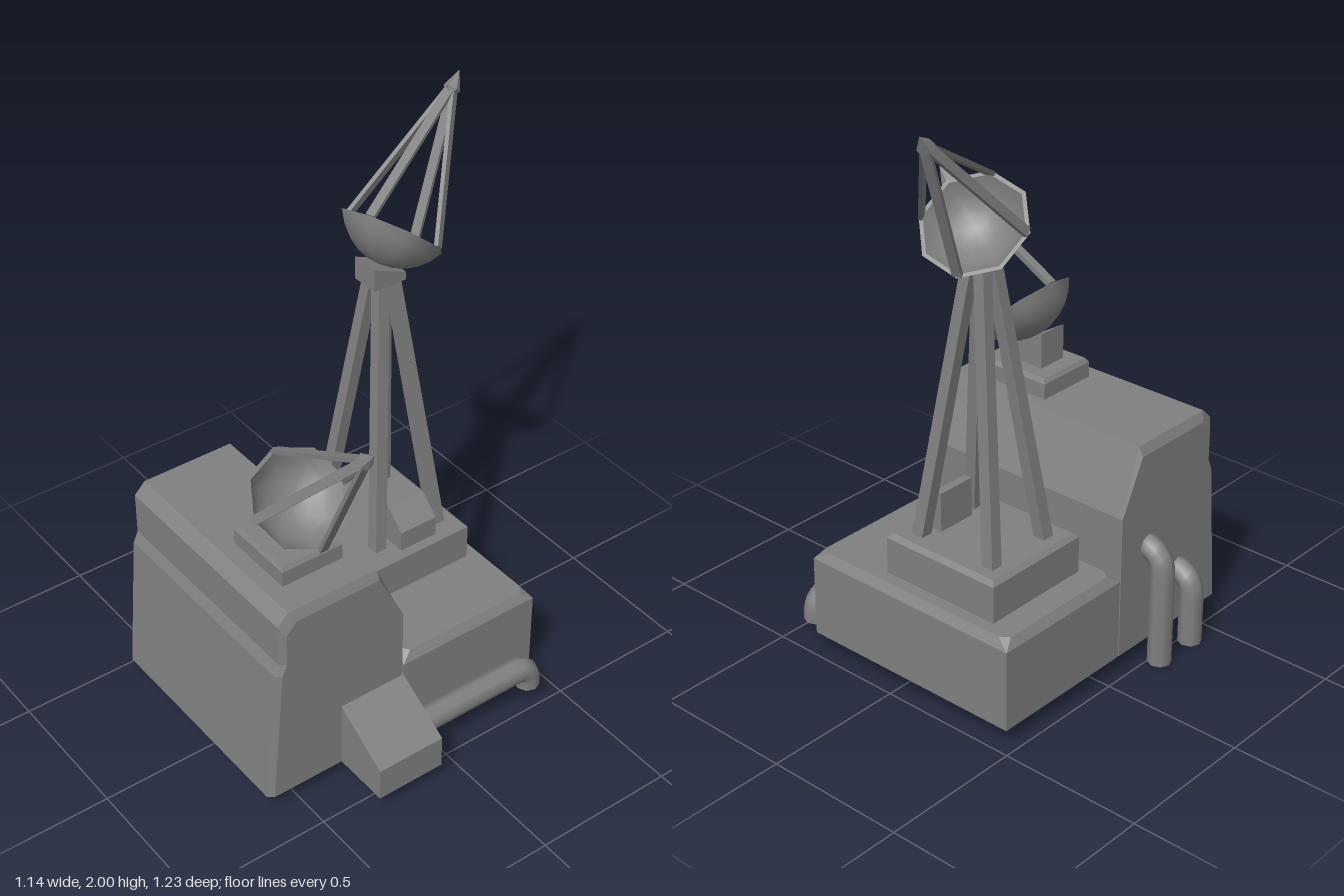
import * as THREE from 'three';
import { toCreasedNormals } from 'three/addons/utils/BufferGeometryUtils.js';

const grey = new THREE.MeshStandardMaterial({ color: 0x808080, side: THREE.DoubleSide });
const V = (x, y, z) => new THREE.Vector3(x, y, z);

function part(name, geometry, parent) {
  const mesh = new THREE.Mesh(geometry, grey);
  mesh.name = name;
  parent.add(mesh);
  return mesh;
}

// Flat-faced skin through equal-length rings of points
function loft(rings, closed, capStart, capEnd) {
  const pos = [];
  const tri = (...pts) => pts.forEach((p) => pos.push(p.x, p.y, p.z));
  const n = rings[0].length;
  for (let i = 0; i < rings.length - 1; i++) {
    for (let j = 0; j < (closed ? n : n - 1); j++) {
      const k = (j + 1) % n;
      const [a, b, c, d] = [rings[i][j], rings[i][k], rings[i + 1][k], rings[i + 1][j]];
      tri(a, b, c);
      tri(a, c, d);
    }
  }
  const first = rings[0], last = rings[rings.length - 1];
  for (let j = 1; j < n - 1; j++) {
    if (capStart) tri(first[0], first[j + 1], first[j]);
    if (capEnd) tri(last[0], last[j], last[j + 1]);
  }
  const g = new THREE.BufferGeometry();
  g.setAttribute('position', new THREE.Float32BufferAttribute(pos, 3));
  g.computeVertexNormals();
  return g;
}

// Slab with a chamfered top, top corners cut by (cutX, cutZ), and an open underside
function slab(x0, x1, z0, z1, y0, yShoulder, y1, inset, cutX = 0, cutZ = 0) {
  const ring = (y, i, cx, cz) => [
    V(x0 + i + cx, y, z1 - i), V(x1 - i - cx, y, z1 - i), V(x1 - i, y, z1 - i - cz), V(x1 - i, y, z0 + i + cz),
    V(x1 - i - cx, y, z0 + i), V(x0 + i + cx, y, z0 + i), V(x0 + i, y, z0 + i + cz), V(x0 + i, y, z1 - i - cz)];
  return loft([ring(y0, 0, 0, 0), ring(yShoulder, 0, 0, 0), ring(y1, inset, cutX, cutZ)], true, false, true);
}

// Outline in x and y carried from z0 to z1; the side between its last and first points stays open
function prism(outline, z0, z1) {
  return loft([z0, z1].map((z) => outline.map(([x, y]) => V(x, y, z))), false, true, true);
}

// Rectangular bar between two points
function beam(name, a, b, width, depth, parent) {
  const mesh = new THREE.Mesh(new THREE.BoxGeometry(width, depth, a.distanceTo(b)), grey);
  mesh.name = name;
  mesh.position.copy(a).add(b).multiplyScalar(0.5);
  mesh.lookAt(b);
  parent.add(mesh);
}

// Eight-sided open pipe with one rounded elbow
function pipe(name, start, corner, end, bend, radius, parent) {
  const toward = (p) => p.clone().sub(corner).setLength(bend).add(corner);
  const elbow = new THREE.QuadraticBezierCurve3(toward(start), corner, toward(end));
  const path = [start, ...elbow.getPoints(6), end];
  const curve = new THREE.CurvePath();
  for (let i = 0; i < path.length - 1; i++) curve.add(new THREE.LineCurve3(path[i], path[i + 1]));
  part(name, new THREE.TubeGeometry(curve, 48, radius, 8), parent);
}

// Octagonal bowl with four struts holding a pointed receiver, opening along local +y
function dish(name, center, yaw) {
  const g = new THREE.Group();
  g.name = name;
  const arc = (radius, maxAngle) => Array.from({ length: 6 }, (_, i) => {
    const a = (maxAngle * i) / 5;
    return new THREE.Vector2(radius * Math.sin(a), 0.089 - radius * Math.cos(a));
  });
  const profile = [...arc(0.199, 1.107), ...arc(0.187, 1.075).reverse()];
  part('bowl', toCreasedNormals(new THREE.LatheGeometry(profile, 8), 1), g);
  for (let i = 0; i < 4; i++) {
    const a = (i * Math.PI) / 2;
    const at = (r, y) => V(r * Math.sin(a), y, r * Math.cos(a));
    beam('strut', at(0.168, 0), at(0.008, 0.48), 0.031, 0.014, g);
  }
  const tip = [[0, 0.44], [0.028, 0.482], [0, 0.545]].map(([r, y]) => new THREE.Vector2(r, y));
  part('receiver', toCreasedNormals(new THREE.LatheGeometry(tip, 6), 0.8), g);
  g.position.copy(center);
  g.rotation.set(0.755, yaw, 0, 'YXZ');
  return g;
}

export function createModel() {
  const model = new THREE.Group();
  model.name = 'antennaStation';

  // Tall front block: back-to-front outline (z, y), with bevelled ends
  const outline = [[0.085, 0.06], [0.085, 0.57], [0.18, 0.79], [0.515, 0.79],
    [0.555, 0.75], [0.555, 0.6], [0.573, 0.56], [0.615, 0.06]];
  const section = (x, inset) => outline.map(([z, y]) =>
    V(x, y > 0.7 ? y - inset * 1.6 : y, z > 0.5 ? z - inset : z));
  part('mainBlock', loft([section(-0.47, 0.02), section(-0.453, 0), section(0.35, 0), section(0.367, 0.02)],
    false, true, true), model);

  // Low rear block and its stepped platform
  part('rearBlock', slab(-0.47, 0.367, -0.468, 0.08, 0.06, 0.345, 0.375, 0.02, 0.03, 0.022), model);
  part('towerPlatform', slab(-0.36, 0.092, -0.405, 0.004, 0.37, 0.503, 0.518, 0.015), model);
  part('platformBox', prism([[0.07, 0.51], [0.07, 0.59], [0, 0.655], [-0.03, 0.655], [-0.03, 0.51]],
    -0.282, -0.138), model);

  // Sloped side housing with the exhaust pipe behind it
  part('sideHousing', prism([[0.573, 0.06], [0.573, 0.18], [0.36, 0.31], [0.36, 0.06]], 0.08, 0.33), model);
  pipe('exhaustPipe', V(0.439, 0.135, 0.1), V(0.439, 0.135, -0.398), V(0.439, 0.052, -0.398), 0.06, 0.043, model);

  // Two elbow pipes on the other side
  [[0.39, 0.26], [0.225, 0.42]].forEach(([z, y]) =>
    pipe('elbowPipe', V(-0.2, y, z), V(-0.53, y, z), V(-0.53, 0, z), 0.085, 0.041, model));

  // Four-legged tower
  const tower = new THREE.Group();
  tower.name = 'tower';
  tower.position.set(-0.138, 0, -0.207);
  const square = (x, y, z, h) => [V(x - h, y, z + h), V(x + h, y, z + h), V(x + h, y, z - h), V(x - h, y, z - h)];
  for (const sx of [-1, 1]) for (const sz of [-1, 1]) {
    part('towerLeg', loft([square(sx * 0.15, 0.505, sz * 0.124, 0.022),
      square(sx * 0.022, 1.47, sz * 0.022, 0.02)], true, true, true), tower);
  }

  // Tower cap (z, y outline turned sideways), sloped to seat the high dish
  const cap = part('towerCap', prism([[0.066, 1.455], [0.066, 1.535], [-0.058, 1.482], [-0.058, 1.455],
    [0.066, 1.455]], -0.05, 0.05), tower);
  cap.rotation.y = -Math.PI / 2;
  model.add(tower);
  model.add(dish('highDish', V(-0.155, 1.6, -0.26), -2.81));

  // Roof pad and sloped post carrying the low dish
  part('roofPad', slab(-0.02, 0.242, 0.23, 0.458, 0.78, 0.845, 0.86, 0.01), model);
  part('dishPost', prism([[0.17, 0.85], [0.17, 0.908], [0.046, 0.983], [0.046, 0.85]], 0.289, 0.401), model);
  model.add(dish('lowDish', V(0.175, 1.033, 0.345), Math.PI / 2));

  return model;
}
